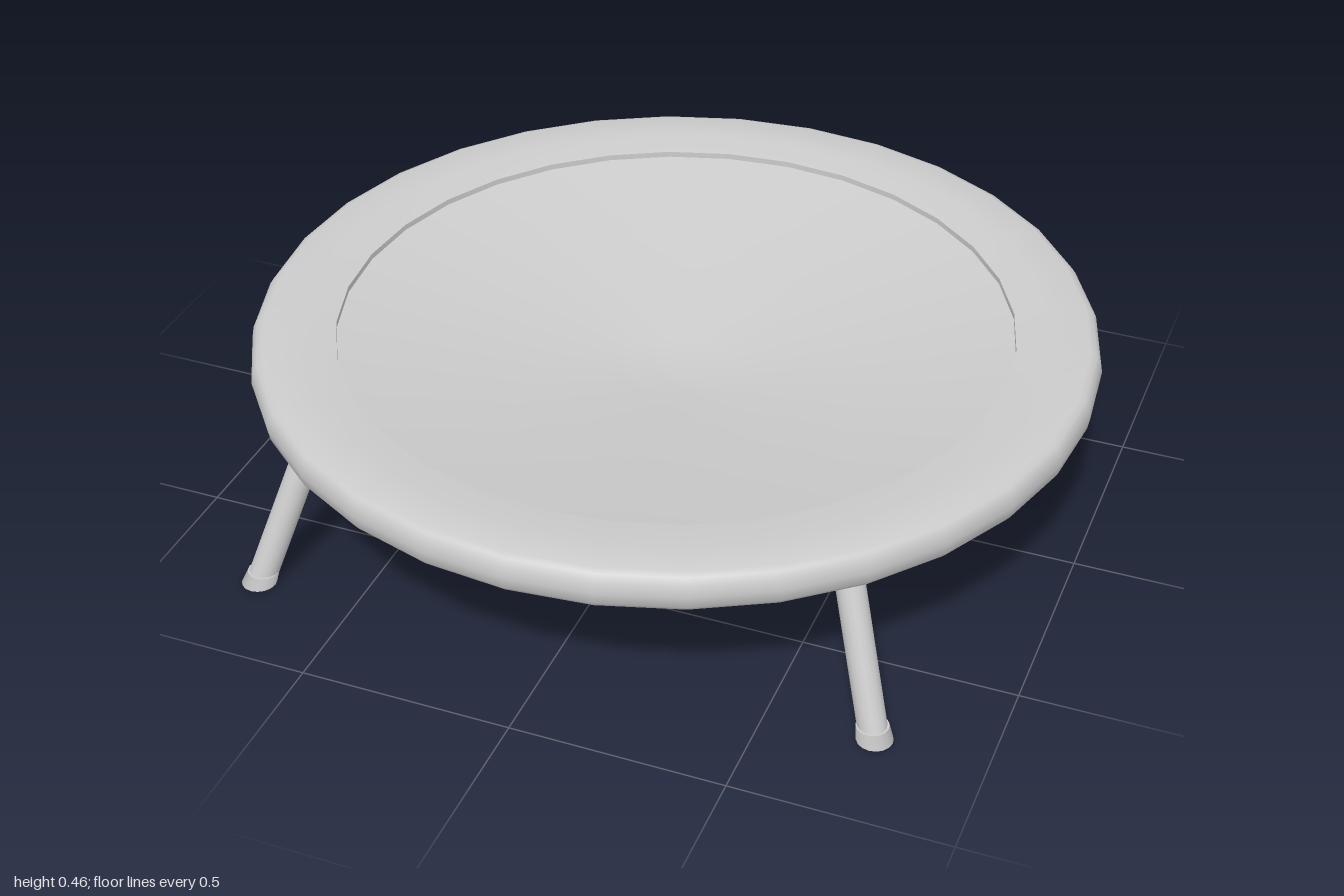
import * as THREE from 'three';
import { toCreasedNormals } from 'three/addons/utils/BufferGeometryUtils.js';

const material = new THREE.MeshStandardMaterial({ color: 0xcccccc });
const SIDES = 32;

function addMesh(parent, name, geometry) {
  const mesh = new THREE.Mesh(geometry, material);
  mesh.name = name;
  parent.add(mesh);
  return mesh;
}

// Revolve [radius, height] pairs, keeping sharp edges crisp
function lathe(points) {
  const profile = points.map(([r, y]) => new THREE.Vector2(r, y));
  return toCreasedNormals(new THREE.LatheGeometry(profile, SIDES), 0.7);
}

export function createModel() {
  const model = new THREE.Group();
  model.name = 'trampoline';

  // Padded rim: flat ring with a rounded outer edge
  addMesh(model, 'rim', lathe([
    [0.8, 0.378], [0.88, 0.367], [0.97, 0.366], [0.985, 0.372], [0.995, 0.385], [1, 0.413],
    [0.995, 0.44], [0.985, 0.455], [0.97, 0.461], [0.88, 0.46], [0.8, 0.45], [0.8, 0.378],
  ]));

  // Sagging mat: shallow dish with a small flat centre
  addMesh(model, 'mat', lathe([
    [0, 0.27], [0.125, 0.27], [0.802, 0.393], [0.802, 0.436], [0.125, 0.31], [0, 0.305],
  ]));

  // Four splayed legs with rubber feet, on the diagonals
  const top = new THREE.Vector3(0.623, 0.4, 0.623);
  const bottom = new THREE.Vector3(0.741, 0.015, 0.741);
  const axis = top.clone().sub(bottom);
  const legNames = ['frontLeft', 'backLeft', 'backRight', 'frontRight'];
  legNames.forEach((name, i) => {
    const leg = new THREE.Group();
    leg.name = name + 'Leg';
    const tube = addMesh(leg, 'legTube', new THREE.CylinderGeometry(0.033, 0.033, axis.length(), 16));
    tube.position.copy(top).add(bottom).multiplyScalar(0.5);
    tube.quaternion.setFromUnitVectors(new THREE.Vector3(0, 1, 0), axis.clone().normalize());

    // Foot: short tapered cap, leaning with the leg
    const footGeometry = new THREE.CylinderGeometry(0.037, 0.041, 0.03, 16);
    const pos = footGeometry.attributes.position;
    for (let k = 0; k < pos.count; k++) {
      const lean = -0.3 * pos.getY(k);
      pos.setXYZ(k, pos.getX(k) + lean, pos.getY(k), pos.getZ(k) + lean);
    }
    const foot = addMesh(leg, 'foot', footGeometry);
    foot.position.set(0.743, 0.015, 0.743);

    leg.rotation.y = i * Math.PI / 2;
    model.add(leg);
  });

  return model;
}
